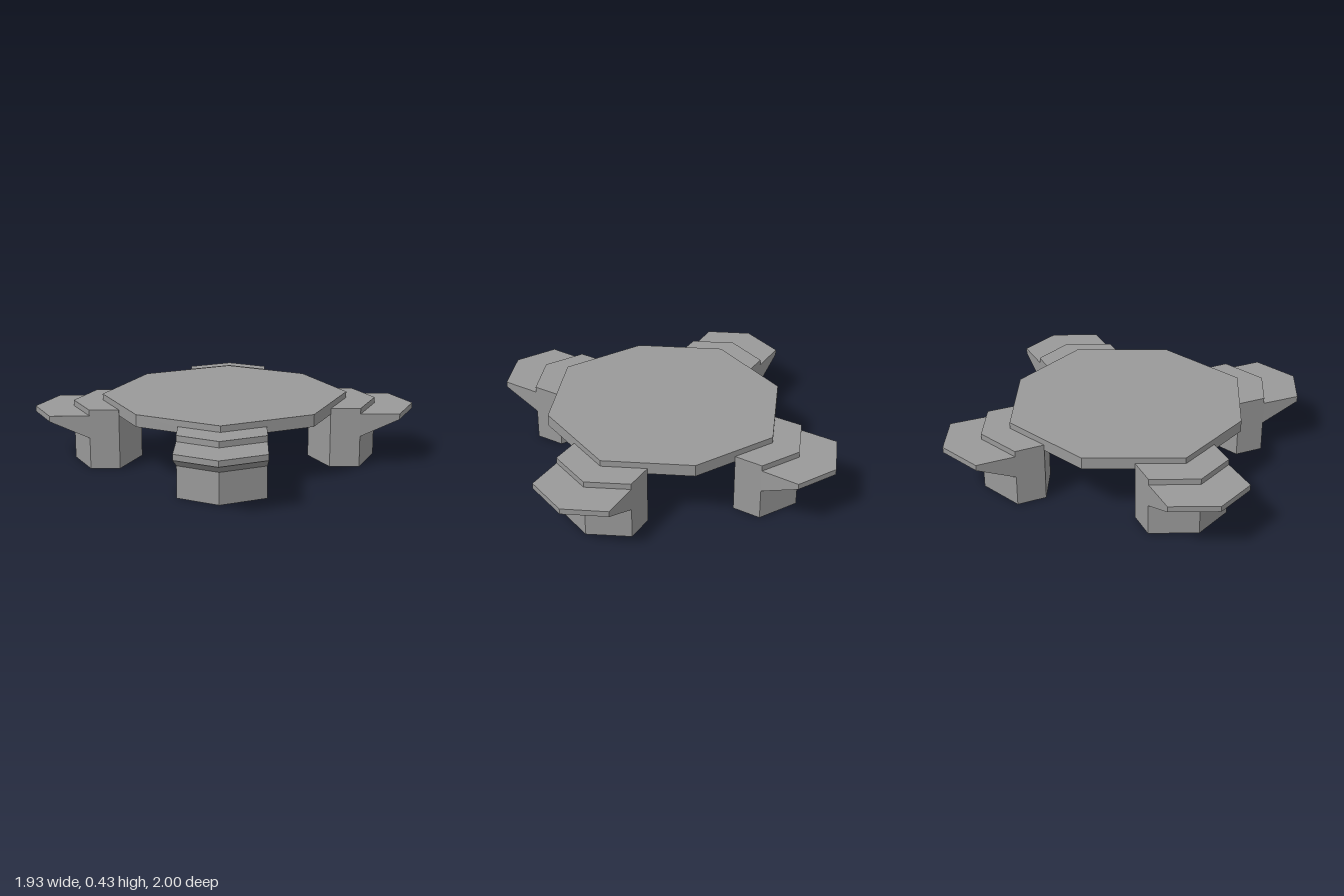
import * as THREE from 'three';

const stone = new THREE.MeshStandardMaterial({ color: 0x999999 });
stone.name = 'grey';

// Upright prism from an [x, z] outline
function prism(outline, bottom, top, name) {
  const shape = new THREE.Shape(outline.map(([x, z]) => new THREE.Vector2(x, -z)));
  const geo = new THREE.ExtrudeGeometry(shape, { depth: top - bottom, bevelEnabled: false });
  geo.rotateX(-Math.PI / 2).translate(0, bottom, 0);
  const mesh = new THREE.Mesh(geo, stone);
  mesh.name = name;
  return mesh;
}

// Hard-edged surface from four-cornered faces
function facets(quads, flip, name) {
  const pos = [];
  for (const [a, b, c, d] of quads) {
    const order = flip ? [a, c, b, a, d, c] : [a, b, c, a, c, d];
    for (const p of order) pos.push(...p);
  }
  const geo = new THREE.BufferGeometry();
  geo.setAttribute('position', new THREE.Float32BufferAttribute(pos, 3));
  geo.computeVertexNormals();
  const mesh = new THREE.Mesh(geo, stone);
  mesh.name = name;
  return mesh;
}

// Leg corners facing outward, then those facing the centre
const outer = [[0.405, 0.815], [0.675, 0.725], [0.79, 0.435]];
const inner = [[0.655, 0.3], [0.39, 0.39], [0.275, 0.68]];
const tips = [[0.575, 1], [0.85, 0.905], [0.965, 0.615]];

// Chevron bracket with a sloping underside
function makeBracket(sx, sz) {
  const at = ([x, z], y) => [x * sx, y, z * sz];
  const legLow = outer.map(p => at(p, 0.203));
  const legTop = outer.map(p => at(p, 0.352));
  const tipLow = tips.map(p => at(p, 0.315));
  const tipTop = tips.map(p => at(p, 0.352));
  const quads = [
    [legLow[0], tipLow[0], tipTop[0], legTop[0]],
    [legTop[2], tipTop[2], tipLow[2], legLow[2]],
  ];
  for (let i = 0; i < 2; i++) {
    const j = i + 1;
    quads.push(
      [legTop[i], tipTop[i], tipTop[j], legTop[j]],
      [legLow[i], legLow[j], tipLow[j], tipLow[i]],
      [tipLow[i], tipLow[j], tipTop[j], tipTop[i]],
    );
  }
  return facets(quads, sx * sz < 0, 'bracket');
}

export function createModel() {
  const model = new THREE.Group();
  model.name = 'platform';

  // Octagonal top slab
  const slab = [];
  for (let i = 0; i < 8; i++) {
    const a = (i * Math.PI) / 4;
    const r = i % 2 ? [0.772, 0.83] : [0.772, 0.773];
    slab.push([r[0] * Math.cos(a), r[1] * Math.sin(a)]);
  }
  model.add(prism(slab, 0.352, 0.43, 'topSlab'));

  // Four mirrored legs with outward brackets
  for (const sx of [1, -1]) {
    for (const sz of [1, -1]) {
      const leg = new THREE.Group();
      leg.name = (sz > 0 ? 'front' : 'back') + (sx > 0 ? 'Left' : 'Right') + 'Leg';
      const outline = [...outer, ...inner].map(([x, z]) => [x * sx, z * sz]);
      leg.add(prism(outline, 0, 0.39, 'post'), makeBracket(sx, sz));
      model.add(leg);
    }
  }
  return model;
}
